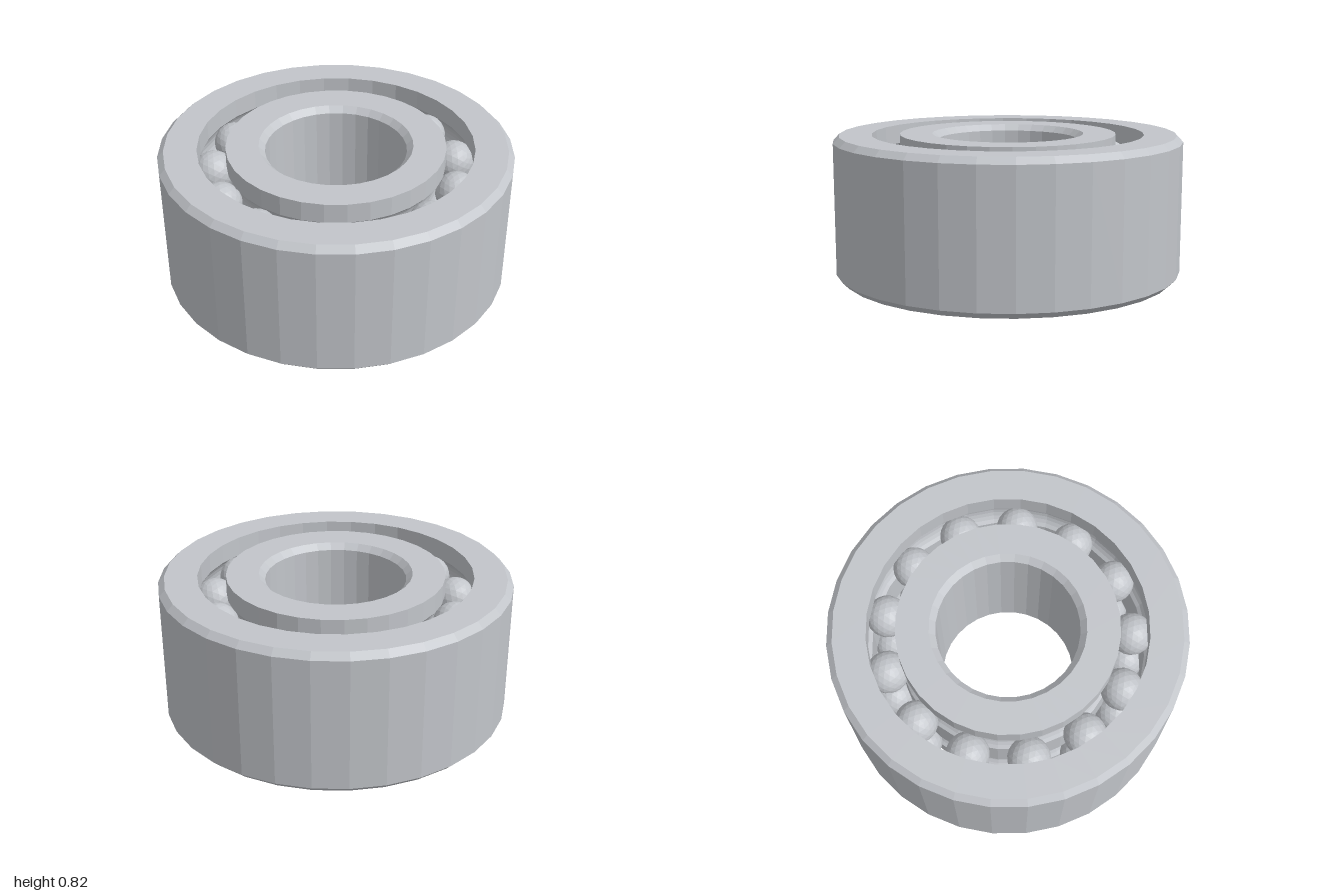
import * as THREE from 'three';

const HEIGHT = 0.82, CHAMFER = 0.035, SIDES = 32;
const PITCH = 0.7, BALL = 0.12, GROOVE = 0.122, BALLS = 13;
const ROWS = [HEIGHT / 4, HEIGHT * 3 / 4];

const steel = new THREE.MeshStandardMaterial({ color: 0xc2c5ca });
steel.name = 'steel';

// Give every face its own flat normal
function faceted(geometry) {
  const g = geometry.index ? geometry.toNonIndexed() : geometry;
  g.computeVertexNormals();
  return g;
}

// Race wall at the given radius, bottom to top, with a round groove for each row of balls
function raceWall(radius) {
  const side = Math.sign(radius - PITCH);
  const half = Math.acos(Math.abs(radius - PITCH) / GROOVE);
  const points = [[radius, 0]];
  for (const y of ROWS) {
    for (let i = 0; i <= 8; i++) {
      const a = half * (i / 4 - 1);
      points.push([PITCH + side * GROOVE * Math.cos(a), y + GROOVE * Math.sin(a)]);
    }
  }
  points.push([radius, HEIGHT]);
  return points;
}

// Plain wall with chamfered ends, bottom to top; inset is +1 or -1
function chamferedWall(radius, inset) {
  const end = radius + inset * CHAMFER;
  return [[end, 0], [radius, CHAMFER], [radius, HEIGHT - CHAMFER], [end, HEIGHT]];
}

// Closed ring: up the outer wall, down the inner wall
function ring(name, outer, inner) {
  const loop = [...outer, ...inner.reverse(), outer[0]];
  const profile = loop.map(([r, y]) => new THREE.Vector2(r, y));
  const mesh = new THREE.Mesh(faceted(new THREE.LatheGeometry(profile, SIDES)), steel);
  mesh.name = name;
  return mesh;
}

export function createModel() {
  const model = new THREE.Group();
  model.name = 'ballBearing';

  model.add(ring('outerRing', chamferedWall(1, -1), raceWall(0.78)));
  model.add(ring('innerRing', raceWall(0.62), chamferedWall(0.4, 1)));

  // Two aligned rows of balls
  const ballGeometry = faceted(new THREE.IcosahedronGeometry(BALL, 3));
  ROWS.forEach((y, row) => {
    const group = new THREE.Group();
    group.name = row ? 'upperBalls' : 'lowerBalls';
    for (let i = 0; i < BALLS; i++) {
      const a = (i / BALLS) * Math.PI * 2;
      const ball = new THREE.Mesh(ballGeometry, steel);
      ball.name = 'ball';
      ball.position.set(PITCH * Math.cos(a), y, PITCH * Math.sin(a));
      group.add(ball);
    }
    model.add(group);
  });
  return model;
}
